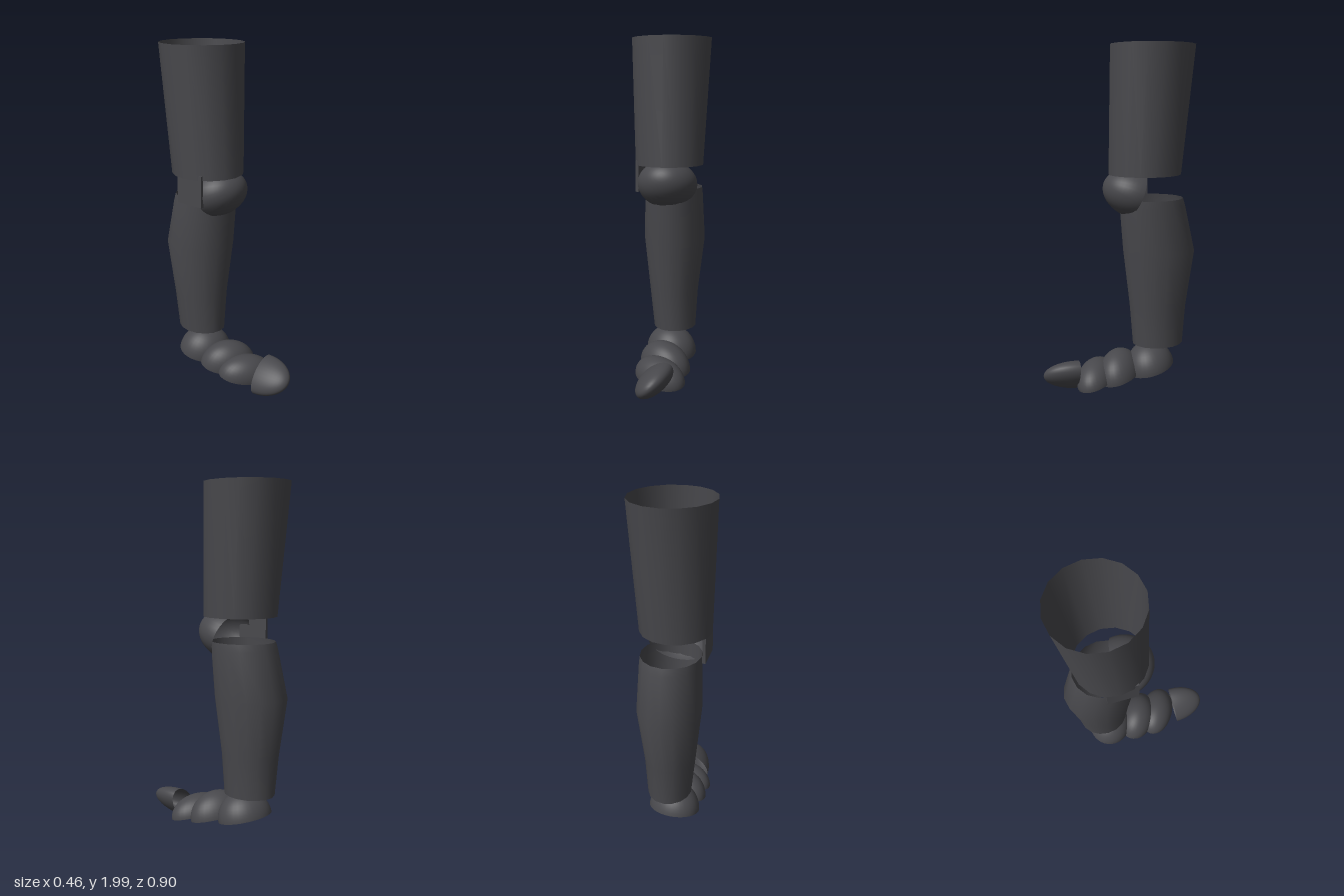
import * as THREE from 'three';

const steel = new THREE.MeshStandardMaterial({ color: 0x48484c, side: THREE.DoubleSide });
steel.name = 'dark steel';

// Open smooth tube through elliptical rings [y, centreX, centreZ, radiusX, radiusZ], bottom to top
function sleeve(name, rings, sides = 16) {
  const pos = [], idx = [];
  rings.forEach(([y, cx, cz, rx, rz], r) => {
    for (let i = 0; i < sides; i++) {
      const a = (i / sides) * Math.PI * 2;
      pos.push(cx + Math.cos(a) * rx, y, cz + Math.sin(a) * rz);
      if (r === 0) continue;
      const j = (i + 1) % sides, lo = (r - 1) * sides, hi = r * sides;
      idx.push(lo + i, hi + i, hi + j, lo + i, hi + j, lo + j);
    }
  });
  const geo = new THREE.BufferGeometry();
  geo.setAttribute('position', new THREE.Float32BufferAttribute(pos, 3));
  geo.setIndex(idx);
  geo.computeVertexNormals();
  const mesh = new THREE.Mesh(geo, steel);
  mesh.name = name;
  return mesh;
}

// Open half ellipsoid: radii are [width, depth along the pole, other width]; angles in degrees
const half = new THREE.SphereGeometry(1, 32, 12, 0, Math.PI * 2, 0, Math.PI / 2);
function dome(name, centre, radii, pitch, turn) {
  const mesh = new THREE.Mesh(half, steel);
  mesh.name = name;
  mesh.position.set(...centre);
  mesh.scale.set(...radii);
  mesh.rotation.set(THREE.MathUtils.degToRad(pitch), THREE.MathUtils.degToRad(turn), 0);
  return mesh;
}

export function createModel() {
  const leg = new THREE.Group();
  leg.name = 'legArmour';

  // Thigh and shin sleeves
  leg.add(sleeve('thighGuard', [
    [1.275, -0.005, -0.155, 0.2, 0.21],
    [2, 0, -0.197, 0.232, 0.242],
  ]));
  leg.add(sleeve('shinGuard', [
    [0.27, 0.015, -0.235, 0.127, 0.15],
    [0.5, 0.01, -0.235, 0.146, 0.168],
    [0.83, 0.0125, -0.238, 0.183, 0.212],
    [1.1, 0.015, -0.196, 0.173, 0.192],
    [1.14, 0.015, -0.188, 0.17, 0.187],
  ]));

  // Knee cap with its side plate
  leg.add(dome('kneeCap', [-0.003, 1.162, -0.095], [0.175, 0.19, 0.137], 68, 0));
  const plate = new THREE.Mesh(new THREE.BoxGeometry(0.018, 0.18, 0.18), steel);
  plate.name = 'kneeSidePlate';
  plate.position.set(-0.175, 1.21, -0.135);
  leg.add(plate);

  // Overlapping foot plates, sloping down toward the toe
  leg.add(dome('heelPlate', [0, 0.115, -0.198], [0.16, 0.153, 0.14], 13, -32));
  leg.add(dome('instepPlate', [0, 0.085, -0.01], [0.17, 0.147, 0.12], 13, -32));
  leg.add(dome('forefootPlate', [0, 0.066, 0.133], [0.17, 0.118, 0.11], 13, -32));
  leg.add(dome('toeCap', [0, 0.106, 0.255], [0.125, 0.195, 0.07], 86, 42));

  return leg;
}
